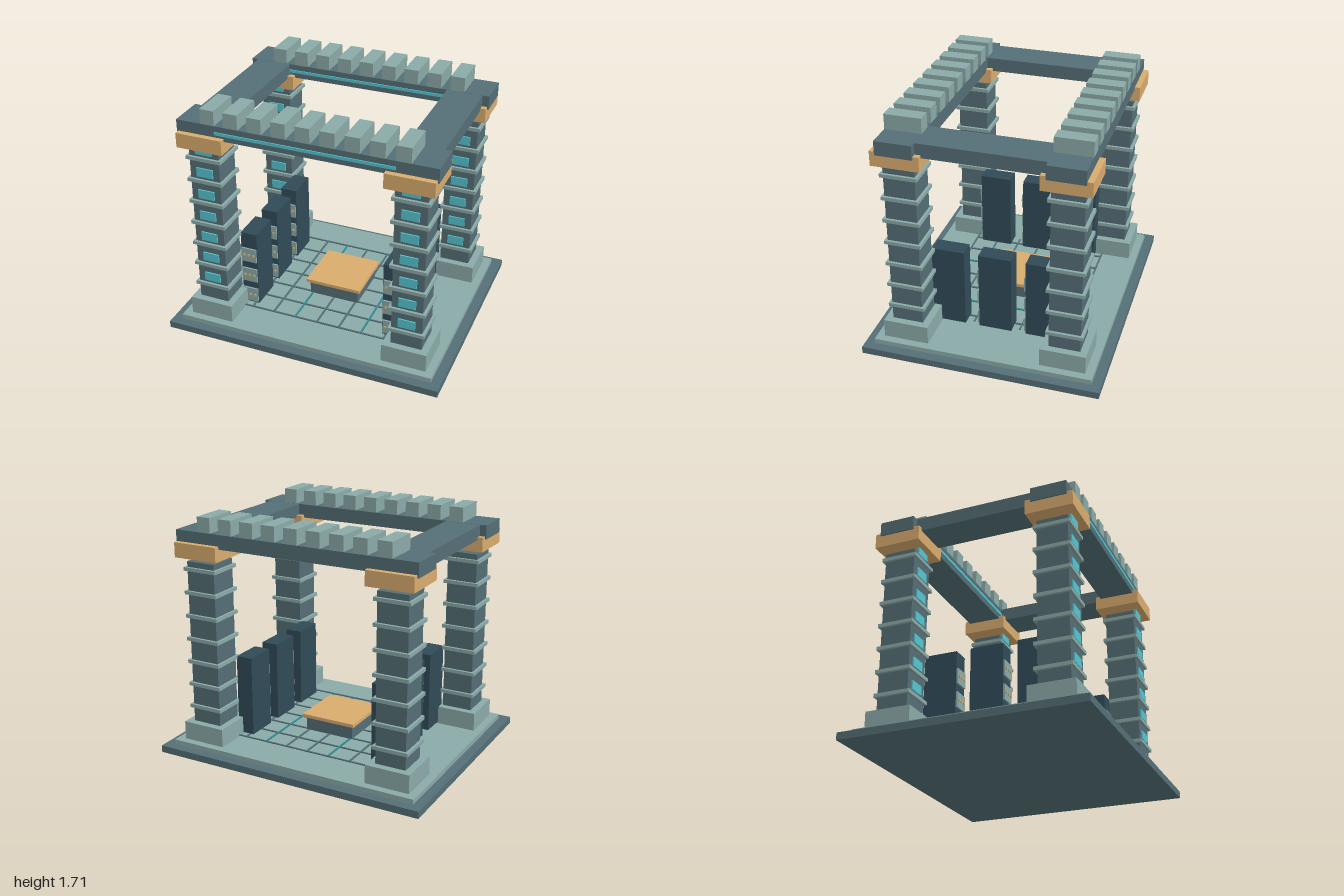
import * as THREE from 'three';

const mat = (color) => new THREE.MeshStandardMaterial({ color, flatShading: true });

export function createModel() {
  const model = new THREE.Group();
  model.name = 'pavilion';
  const slate = mat(0x546e75), pale = mat(0x8aa9a7), gold = mat(0xd8ab6d);
  const cyan = mat(0x55c4d0), navy = mat(0x304a57), teal = mat(0x2f8a92);

  // Box given by centre x/z, bottom and top heights, width and depth
  function box(parent, name, material, x, z, y0, y1, w, d) {
    const mesh = new THREE.Mesh(new THREE.BoxGeometry(w, y1 - y0, d), material);
    mesh.position.set(x, (y0 + y1) / 2, z);
    mesh.name = name;
    parent.add(mesh);
    return mesh;
  }
  function group(name, x = 0, z = 0) {
    const g = new THREE.Group();
    g.name = name;
    g.position.set(x, 0, z);
    model.add(g);
    return g;
  }

  // Stepped base
  box(model, 'baseSlab', slate, 0, 0, 0, 0.05, 2, 1.664);
  box(model, 'floorSlab', pale, 0, 0, 0.05, 0.085, 1.864, 1.53);

  // Floor grid strips
  const grid = group('floorGrid');
  for (let i = -3; i <= 3; i++) {
    const p = i / 6;
    const lit = i === -1 || i === 2;
    box(grid, 'gridStripLong', lit ? teal : slate, p, 0, 0.093, 0.101, 0.012, 1);
    box(grid, 'gridStripCross', slate, 0, p, 0.093, 0.1, 1.12, 0.012);
  }

  // Central table
  const table = group('table');
  box(table, 'tableBase', slate, 0, 0, 0.098, 0.198, 0.368, 0.368);
  box(table, 'tableTop', gold, 0, 0, 0.198, 0.222, 0.413, 0.413);

  // Four ringed columns with lit windows facing forward
  for (const sx of [-1, 1]) {
    for (const sz of [-1, 1]) {
      const col = group('column', sx * 0.718, sz * 0.552);
      box(col, 'plinth', pale, 0, 0, 0.085, 0.216, 0.317, 0.317);
      box(col, 'shaft', slate, 0, 0, 0.216, 1.385, 0.217, 0.217);
      for (let i = 0; i < 7; i++) {
        const y = (i + 2) / 6;
        box(col, 'ring', pale, 0, 0, y - 0.0125, y + 0.0125, 0.255, 0.255);
        box(col, 'window', cyan, 0, 0.111, y + 0.032, y + 0.097, 0.12, 0.014);
      }
      box(col, 'capital', gold, 0, 0, 1.418, 1.522, 0.331, 0.331);
    }
    // Side beams
    box(model, 'sideBeam', slate, sx * 0.72, 0, 1.502, 1.6, 0.252, 1.1);
  }

  // Front and back beams with battlements and a light strip
  for (const sz of [-1, 1]) {
    const beam = group(sz > 0 ? 'frontBeam' : 'backBeam', 0, sz * 0.552);
    box(beam, 'beam', slate, 0, 0, 1.502, 1.601, 1.786, 0.252);
    box(beam, 'lightStrip', cyan, 0, 0.128, 1.54, 1.561, 1.234, 0.01);
    for (let i = -4; i <= 4; i++) {
      box(beam, 'battlement', pale, i / 6, 0, 1.601, 1.706, 0.1, 0.252);
    }
  }

  // Two rows of equipment cabinets
  const knob = new THREE.CylinderGeometry(0.01, 0.01, 0.01, 8).rotateX(Math.PI / 2);
  for (const sx of [-1, 1]) {
    for (let k = -1; k <= 1; k++) {
      const cab = group('cabinet', sx * 0.534, k / 3);
      box(cab, 'cabinetBody', navy, 0, 0, 0.098, 0.675, 0.122, 0.232);
      for (let i = 1; i <= 3; i++) {
        box(cab, 'panel', pale, 0, 0.121, i / 6 - 0.053, i / 6 + 0.055, 0.112, 0.014);
        for (const dx of [-0.035, 0, 0.035]) {
          const dot = new THREE.Mesh(knob, gold);
          dot.name = 'indicator';
          dot.position.set(dx, i / 6 + 0.002, 0.13);
          cab.add(dot);
        }
      }
    }
  }
  return model;
}
